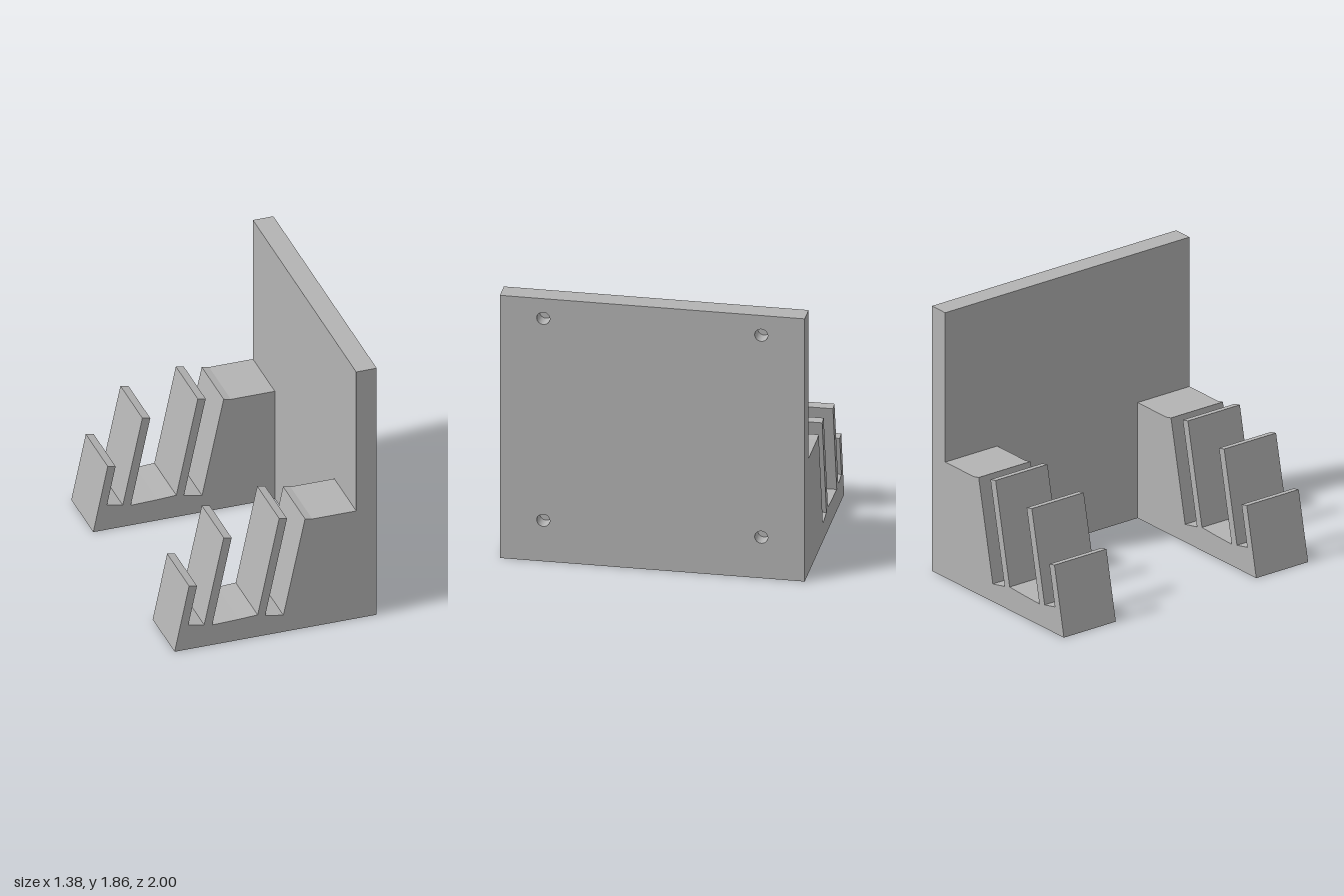
import * as THREE from 'three';

const HALF = 1;          // half width along z
const HEIGHT = 1.86;
const PLATE_IN = 0.55, PLATE_OUT = 0.69;
const HOLE_DEPTH = 0.1, HOLE_R = 0.043;
const ARM_WIDTH = 0.425;

// Slotted side profile (x, y), shared by both arms
const ARM_PROFILE = [
  [-0.692, 0], [0.55, 0], [0.55, 0.811], [0.25, 0.811], [0.2, 0.822],
  [0.052, 0.125], [-0.072, 0.149],
  [0.077, 0.85], [0.023, 0.861], [-0.124, 0.163],
  [-0.25, 0.156], [-0.435, 0.15],
  [-0.302, 0.781], [-0.356, 0.792], [-0.49, 0.162],
  [-0.598, 0.184], [-0.539, 0.465], [-0.593, 0.476],
];

export function createModel() {
  const model = new THREE.Group();
  model.name = 'slottedWallHolder';
  const grey = new THREE.MeshStandardMaterial({ color: 0xb4b4b4 });
  grey.name = 'grey';

  const add = (name, geometry) => {
    const mesh = new THREE.Mesh(geometry, grey);
    mesh.name = name;
    model.add(mesh);
    return mesh;
  };

  // Mounting plate, outer layer with four screw holes
  const face = new THREE.Shape([
    new THREE.Vector2(-HALF, 0), new THREE.Vector2(HALF, 0),
    new THREE.Vector2(HALF, HEIGHT), new THREE.Vector2(-HALF, HEIGHT),
  ]);
  for (const z of [-0.715, 0.715]) {
    for (const y of [0.29, 1.72]) {
      face.holes.push(new THREE.Path().absarc(z, y, HOLE_R, 0, Math.PI * 2, true));
    }
  }
  const outer = new THREE.ExtrudeGeometry(face, { depth: HOLE_DEPTH, bevelEnabled: false, curveSegments: 32 });
  outer.rotateY(Math.PI / 2);
  add('mountingPlate', outer).position.x = PLATE_OUT - HOLE_DEPTH;

  // Inner layer closes the holes
  const thick = PLATE_OUT - HOLE_DEPTH - PLATE_IN;
  add('plateBacking', new THREE.BoxGeometry(thick, HEIGHT, HALF * 2))
    .position.set(PLATE_IN + thick / 2, HEIGHT / 2, 0);

  // Pair of slotted arms
  const profile = new THREE.Shape(ARM_PROFILE.map(([x, y]) => new THREE.Vector2(x, y)));
  const arm = new THREE.ExtrudeGeometry(profile, { depth: ARM_WIDTH, bevelEnabled: false });
  add('frontArm', arm).position.z = HALF - ARM_WIDTH;
  add('backArm', arm).position.z = -HALF;

  return model;
}
